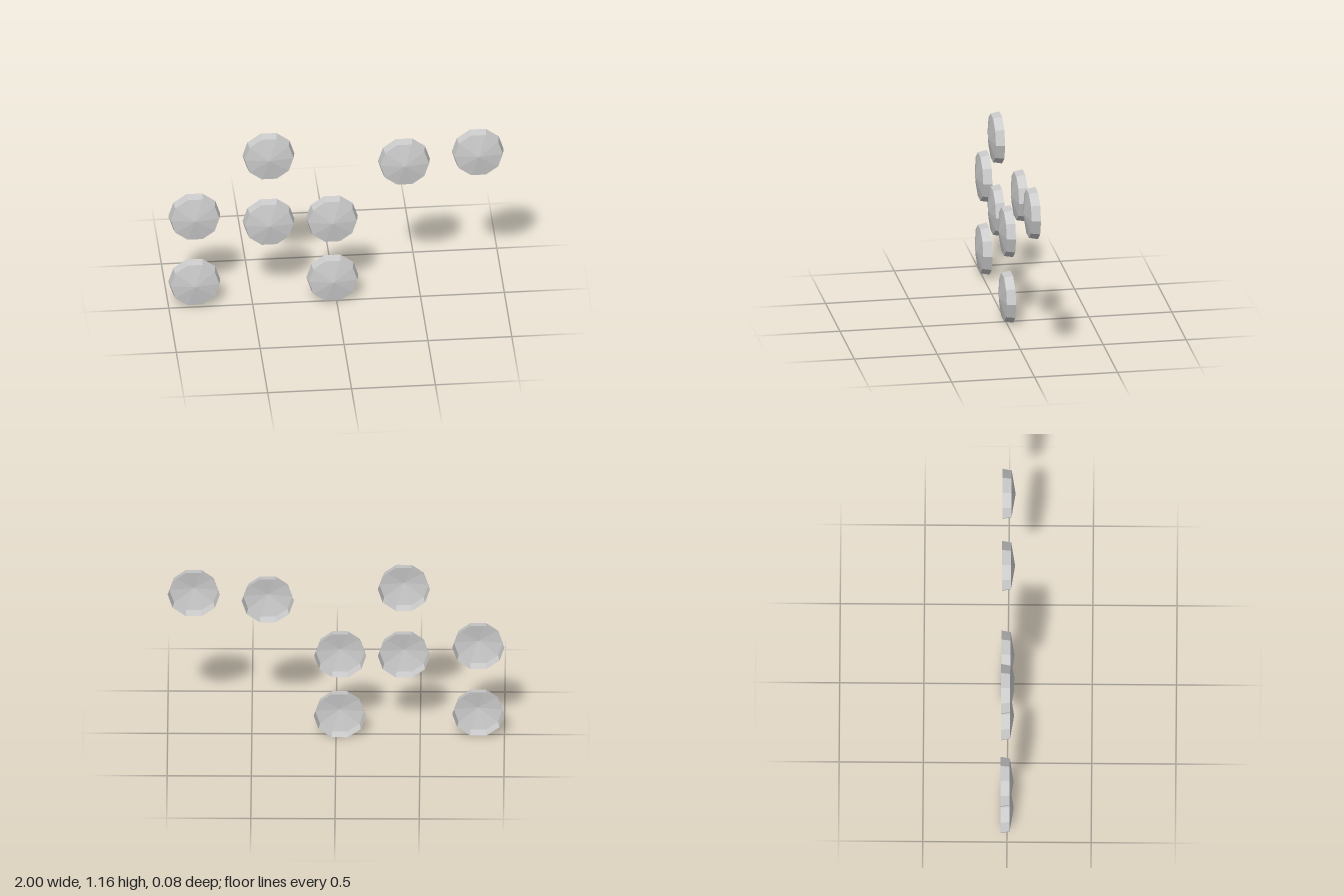
import * as THREE from 'three';

export function createModel() {
  const model = new THREE.Group();
  const material = new THREE.MeshStandardMaterial({
    color: 0xcccccc, flatShading: true, side: THREE.DoubleSide,
  });

  // Ten-sided hollow stud: tapered wall and shallow cone face, open at the back
  const profile = [[0.155, -0.039], [0.145, 0.015], [0, 0.039]]
    .map(([r, y]) => new THREE.Vector2(r, y));
  const stud = new THREE.LatheGeometry(profile, 10, Math.PI / 2);
  stud.rotateX(Math.PI / 2);

  // Stud centres on the x-y plane
  const centres = [
    [-0.845, 0.622], [-0.845, 0.165], [-0.403, 1.02], [-0.403, 0.562],
    [-0.025, 0.562], [-0.022, 0.15], [0.405, 0.938], [0.845, 0.98],
  ];
  centres.forEach(([x, y], i) => {
    const mesh = new THREE.Mesh(stud, material);
    mesh.name = `stud${i + 1}`;
    mesh.position.set(x, y, 0);
    model.add(mesh);
  });
  return model;
}
